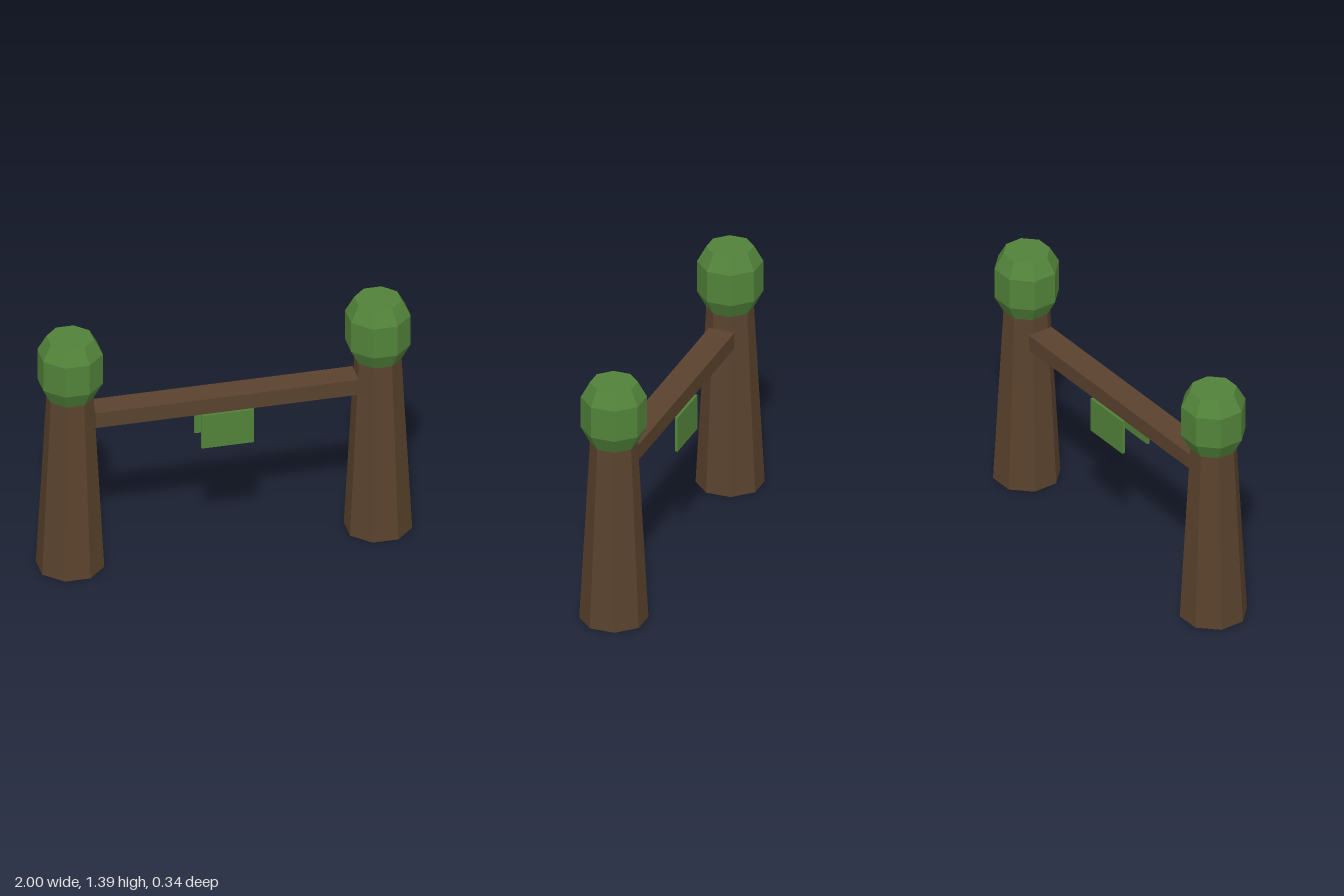
import * as THREE from 'three';

const SIDES = 8;
const CORNER = 1 / Math.cos(Math.PI / SIDES); // flat-to-centre distance -> corner radius

export function createModel() {
  const wood = new THREE.MeshStandardMaterial({ color: 0x5a422d });
  wood.name = 'wood brown';
  const leaf = new THREE.MeshStandardMaterial({ color: 0x52833a });
  leaf.name = 'leaf green';

  const model = new THREE.Group();
  model.name = 'gateway';

  const add = (parent, name, geometry, material, x, y, z) => {
    const flat = geometry.index ? geometry.toNonIndexed() : geometry;
    flat.computeVertexNormals(); // faceted look
    const mesh = new THREE.Mesh(flat, material);
    mesh.name = name;
    mesh.position.set(x, y, z);
    parent.add(mesh);
  };

  // Octagonal shape with flat sides facing the axes; profile = [half width, height]
  const octagon = (profile) => new THREE.LatheGeometry(
    profile.map(([r, y]) => new THREE.Vector2(r * CORNER, y)), SIDES, Math.PI / SIDES);

  // Two tapered posts, each with a leafy crown
  for (const side of [-1, 1]) {
    const post = new THREE.Group();
    post.name = side > 0 ? 'leftPost' : 'rightPost';
    post.position.x = side * 0.832;
    add(post, 'trunk', octagon([[0, 0], [0.168, 0], [0.116, 1.035], [0, 1.035]]), wood, 0, 0, 0);
    add(post, 'crown', octagon([
      [0, 1.035], [0.116, 1.035], [0.161, 1.125], [0.161, 1.303], [0.116, 1.39], [0, 1.39],
    ]), leaf, 0, 0, 0);
    model.add(post);
  }

  // Crossbeam between the posts
  add(model, 'crossbeam', new THREE.BoxGeometry(1.424, 0.09, 0.146), wood, 0, 0.905, 0);

  // Hanging panels under the front and back edges of the beam
  for (const side of [-1, 1]) {
    add(model, side > 0 ? 'frontPanel' : 'backPanel',
      new THREE.BoxGeometry(0.284, 0.2, 0.015), leaf, 0, 0.76, side * 0.08);
  }
  return model;
}
